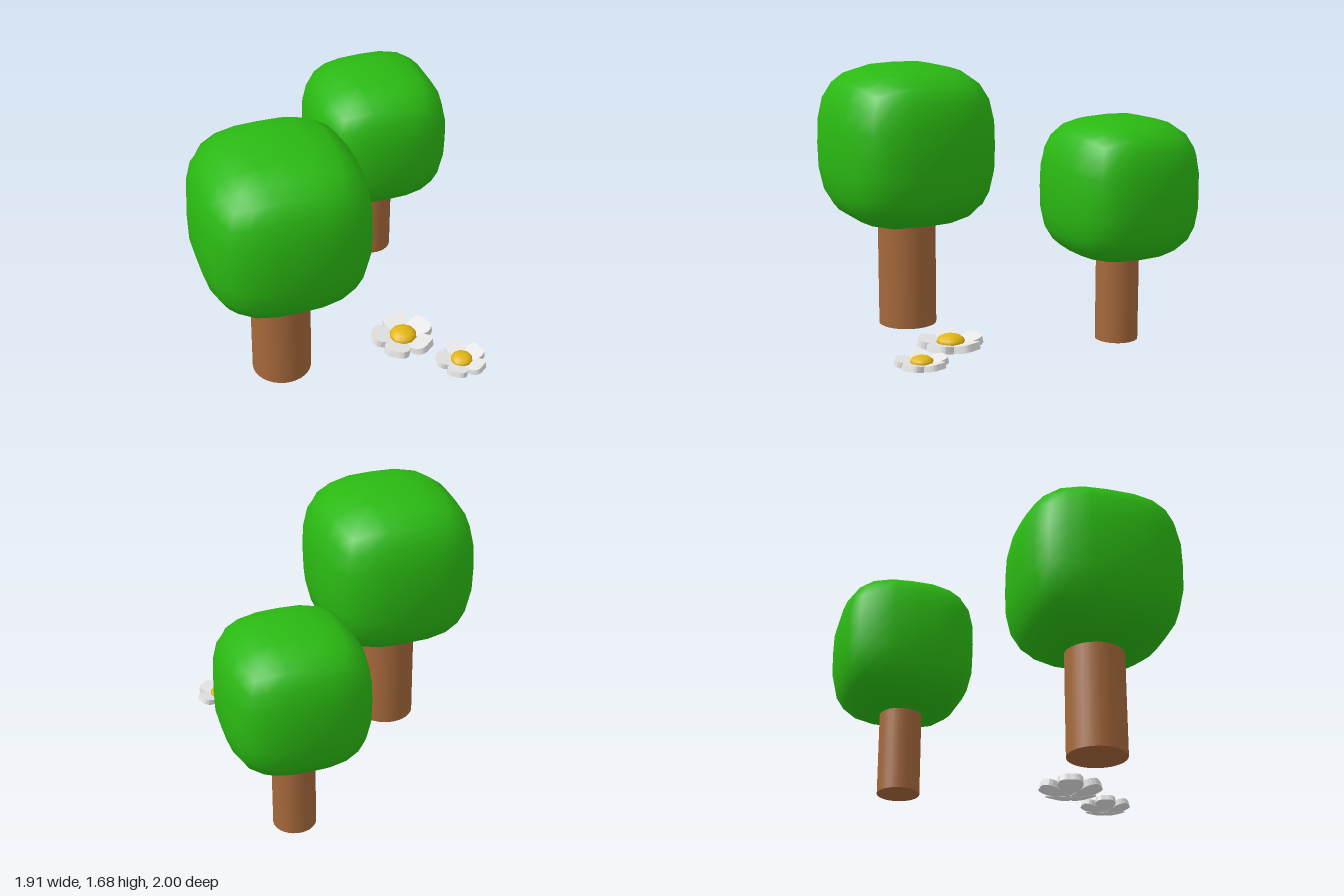
import * as THREE from 'three';
import { mergeVertices } from 'three/addons/utils/BufferGeometryUtils.js';

const mat = (name, color) => {
  const m = new THREE.MeshStandardMaterial({ color });
  m.name = name;
  return m;
};

// Cube pushed onto a superellipsoid: a soft, rounded block
function softCube(half, power = 3.05) {
  const g = new THREE.BoxGeometry(2, 2, 2, 6, 6, 6);
  g.deleteAttribute('uv');
  g.deleteAttribute('normal');
  const p = g.attributes.position;
  const v = new THREE.Vector3();
  for (let i = 0; i < p.count; i++) {
    v.fromBufferAttribute(p, i);
    const n = [v.x, v.y, v.z].reduce((s, c) => s + Math.abs(c) ** power, 0);
    v.multiplyScalar(half / n ** (1 / power));
    p.setXYZ(i, v.x, v.y, v.z);
  }
  const merged = mergeVertices(g, 1e-4);
  merged.computeVertexNormals();
  return merged;
}

// Petal outline, base at the origin, tip towards +y, then laid flat and tilted up
function petalGeometry() {
  const s = new THREE.Shape();
  s.moveTo(-0.02, 0);
  s.lineTo(0.02, 0);
  s.lineTo(0.058, 0.082);
  s.bezierCurveTo(0.08, 0.115, 0.096, 0.165, 0.062, 0.197);
  s.bezierCurveTo(0.04, 0.213, 0.015, 0.208, 0, 0.208);
  s.bezierCurveTo(-0.015, 0.208, -0.04, 0.213, -0.062, 0.197);
  s.bezierCurveTo(-0.096, 0.165, -0.08, 0.115, -0.058, 0.082);
  const g = new THREE.ExtrudeGeometry(s, { depth: 0.045, bevelEnabled: false, curveSegments: 5 });
  g.rotateX(-Math.PI / 2 + 0.24);
  return g;
}

export function createModel() {
  const leaf = mat('leaf green', 0x2ab912);
  const bark = mat('bark brown', 0xa5683a);
  const white = mat('petal white', 0xe7e7e7);
  const yellow = mat('pollen yellow', 0xe2b512);
  const model = new THREE.Group();
  model.name = 'treesAndFlowers';

  const add = (parent, name, geometry, material) => {
    const m = new THREE.Mesh(geometry, material);
    m.name = name;
    parent.add(m);
    return m;
  };

  function tree(name, x, z, half, crownY, radius) {
    const t = new THREE.Group();
    t.name = name;
    t.position.set(x, 0, z);
    add(t, 'trunk', new THREE.CylinderGeometry(radius, radius, crownY, 32), bark).position.y = crownY / 2;
    add(t, 'crown', softCube(half), leaf).position.y = crownY;
    model.add(t);
  }

  const petal = petalGeometry();
  function flower(name, x, y, z, scale) {
    const f = new THREE.Group();
    f.name = name;
    f.position.set(x, y, z);
    f.scale.setScalar(scale);
    for (let i = 0; i < 5; i++) add(f, 'petal', petal, white).rotation.y = (i * Math.PI * 2) / 5;
    const c = add(f, 'flowerCentre', new THREE.SphereGeometry(0.088, 10, 8), yellow);
    c.scale.y = 0.52;
    c.position.y = 0.068;
    model.add(f);
  }

  tree('largeTree', -0.438, 0.43, 0.515, 1.168, 0.185);
  tree('smallTree', 0.515, -0.56, 0.439, 0.963, 0.133);
  flower('largeFlower', 0.345, 0.022, 0.52, 1);
  flower('smallFlower', 0.613, 0.035, 0.845, 0.79);
  return model;
}
